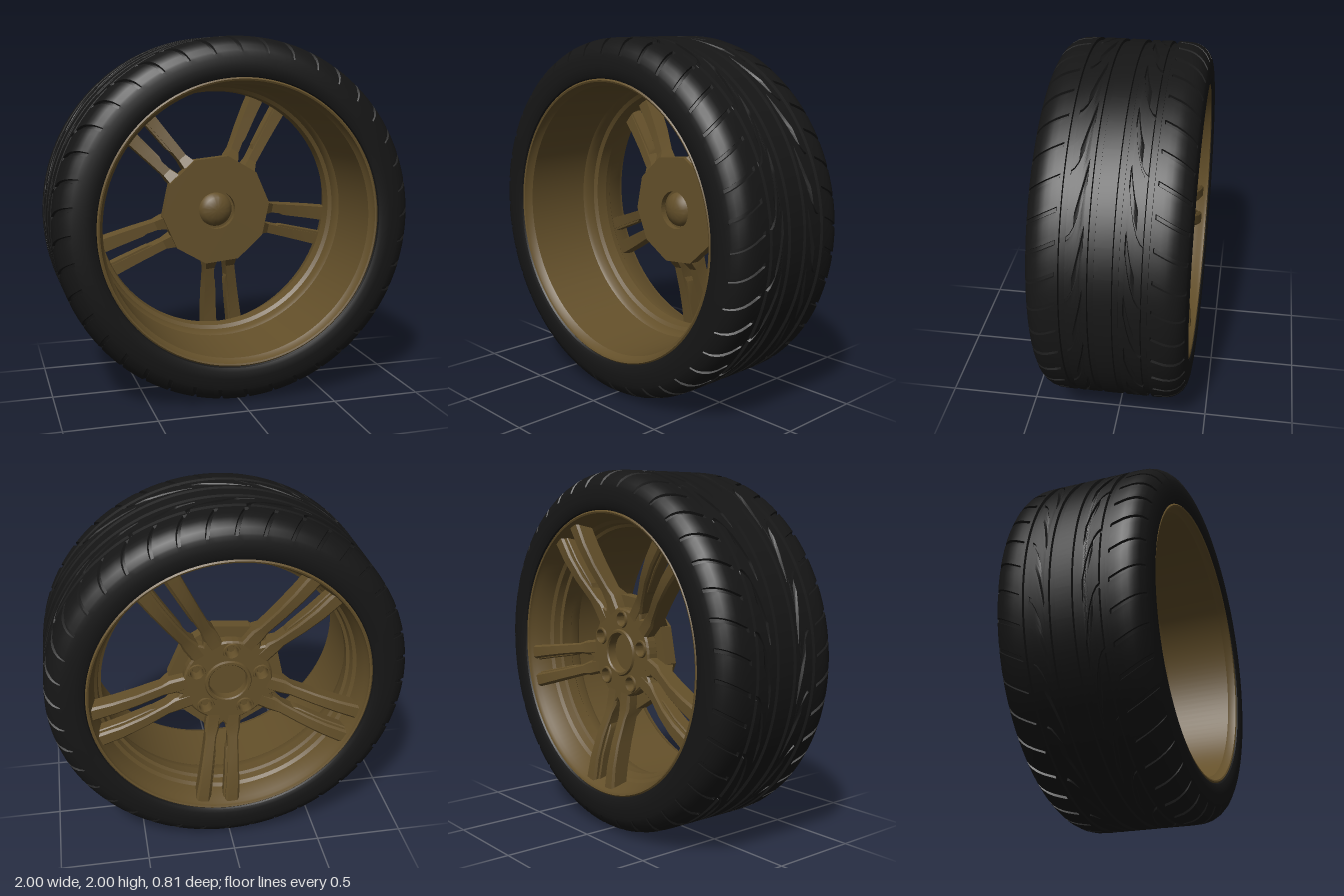
import * as THREE from 'three';
import { toCreasedNormals } from 'three/addons/utils/BufferGeometryUtils.js';

const rubber = new THREE.MeshStandardMaterial({ color: 0x161616 });
const bronze = new THREE.MeshStandardMaterial({ color: 0x64502a });
const TAU = Math.PI * 2;
const PAIR = THREE.MathUtils.degToRad(-84.3); // direction of the first spoke pair
const STEP = TAU / 5;

function add(parent, name, geometry, material = bronze) {
  const mesh = new THREE.Mesh(geometry, material);
  mesh.name = name;
  parent.add(mesh);
  return mesh;
}

// Ring turned about z from [radius, z] points, listed counter-clockwise
function turned(points, segments = 96) {
  const g = new THREE.LatheGeometry(points.map(p => new THREE.Vector2(...p)), segments);
  return toCreasedNormals(g.rotateX(Math.PI / 2), 0.5);
}

// Tyre: a turned profile whose columns follow the slanted tread grooves
function tyreGeometry() {
  const half = [ // [radius, |z|]
    [1, 0.043], [0.985, 0.046], [0.985, 0.074], [1, 0.077],
    [1, 0.098], [1, 0.102], [1, 0.115], [1, 0.13], [1, 0.15], [1, 0.168], [1, 0.183],
    [0.985, 0.186], [0.985, 0.214], [1, 0.217],
    [1, 0.232], [1, 0.236], [0.999, 0.265], [0.997, 0.295], [0.989, 0.325], [0.974, 0.352],
    [0.953, 0.374], [0.925, 0.39], [0.915, 0.394], [0.89, 0.4], [0.85, 0.405],
    [0.81, 0.404], [0.79, 0.395], [0.78, 0.375], [0.765, 0.36],
  ];
  const profile = [
    ...[...half].reverse().map(([r, z]) => [r, -z]), ...half, [half.at(-1)[0], -half.at(-1)[1]],
  ];
  const columns = [0, 0.02, 0.14, 0.16, 0.37, 0.58, 0.79];
  const periods = 40, n = profile.length, m = columns.length;
  const g = new THREE.LatheGeometry(profile.map(p => new THREE.Vector2(...p)), periods * m);
  const pos = g.attributes.position;
  for (let k = 0; k < pos.count; k++) {
    const col = Math.floor(k / n), [r0, z] = profile[k % n];
    const c = col % m, period = Math.floor(col / m), a = Math.abs(z);
    // slant of the grooves, sweeping round into hooks near the centre rib
    let angle = (period + columns[c]) / periods * TAU;
    angle += 0.1 * Math.max(0, (0.4 - Math.max(a, 0.2)) / 0.2);
    angle += 0.28 * Math.pow(THREE.MathUtils.clamp((0.2 - a) / 0.1, 0, 1), 2.5);
    const shoulder = a > 0.234 && r0 > 0.92 && c >= 1 && c <= 2;
    const hook = a > 0.1 && a < 0.184 && period % 2 === 0 && c >= 1 && c <= (a > 0.14 ? 2 : 5);
    const r = r0 - (shoulder || hook ? 0.013 : 0);
    pos.setXYZ(k, r * Math.cos(angle), r * Math.sin(angle), z);
  }
  return toCreasedNormals(g, 0.5);
}

// Beam along x through sections [x, y, halfWidth, faceZ, innerZ], chamfered on its face
function beam(sections, side) {
  const pts = [], index = [], n = 6, last = (sections.length - 1) * n;
  for (const [x, y0, w, f, b] of sections) {
    const y = y0 * side, c = w * 0.3;
    pts.push(x, y - w, f + c, x, y - w + c, f, x, y + w - c, f);
    pts.push(x, y + w, f + c, x, y + w * 0.85, b, x, y - w * 0.85, b);
  }
  for (let i = 0; i < last; i += n) {
    for (let j = 0; j < n; j++) {
      const a = i + j, d = i + (j + 1) % n;
      index.push(a, d, d + n, a, d + n, a + n);
    }
  }
  for (let j = 1; j < n - 1; j++) index.push(0, j + 1, j, last, last + j, last + j + 1);
  const g = new THREE.BufferGeometry();
  g.setAttribute('position', new THREE.Float32BufferAttribute(pts, 3));
  g.setIndex(index);
  return toCreasedNormals(g, 0.35);
}

const polar = (r, a) => new THREE.Vector2(r * Math.cos(a), r * Math.sin(a));

function circleHole(r, centre = new THREE.Vector2()) {
  return new THREE.Path().absarc(centre.x, centre.y, r, 0, TAU, true);
}

function plate(points, holes, z, depth, bevel) {
  const shape = new THREE.Shape(points);
  shape.holes.push(...holes);
  const g = new THREE.ExtrudeGeometry(shape, {
    depth: depth - 2 * bevel, bevelEnabled: bevel > 0, bevelSize: bevel, bevelThickness: bevel,
    bevelOffset: -bevel, bevelSegments: 1, curveSegments: 24,
  });
  return g.translate(0, 0, z + bevel);
}

export function createModel() {
  const model = new THREE.Group();
  model.name = 'wheel';
  const wheel = new THREE.Group();
  wheel.name = 'wheelAssembly';
  wheel.position.y = 1;
  model.add(wheel);

  add(wheel, 'tyre', tyreGeometry(), rubber);

  // Rim: lips at both ends, deep barrel and a stepped well behind the spokes
  add(wheel, 'rim', turned([
    [0.785, -0.385], [0.785, -0.355], [0.775, -0.34], [0.775, 0.34], [0.785, 0.355],
    [0.785, 0.385], [0.777, 0.392], [0.768, 0.388], [0.762, 0.365], [0.748, 0.345],
    [0.735, -0.04], [0.722, -0.06], [0.718, -0.11], [0.698, -0.125], [0.692, -0.19],
    [0.708, -0.2], [0.715, -0.24], [0.732, -0.255], [0.752, -0.35], [0.765, -0.37],
    [0.768, -0.388], [0.777, -0.392], [0.785, -0.385],
  ], 128));

  // Hub: ten-sided mounting plate behind a scalloped face with bolt holes
  const decagon = [], face = [], bolts = [];
  for (let i = 0; i < 10; i++) decagon.push(polar(0.325, PAIR + STEP / 4 + i * STEP / 2));
  for (let i = 0; i < 5; i++) {
    const a = PAIR + i * STEP;
    face.push(polar(0.27, a), polar(0.31, a + 0.1), polar(0.305, a + 0.28));
    for (const t of [-0.27, -0.14, 0, 0.14, 0.27]) face.push(polar(0.25, a + STEP / 2 + t));
    face.push(polar(0.305, a + STEP - 0.28), polar(0.31, a + STEP - 0.1));
    bolts.push(polar(0.19, a + STEP / 2));
  }
  add(wheel, 'mountingPlate', plate(decagon, [circleHole(0.112)], -0.2, 0.07, 0));
  add(wheel, 'hubFace', plate(face,
    [circleHole(0.112), ...bolts.map(p => circleHole(0.036, p))], -0.262, 0.07, 0.01));

  // Raised rim round the bore, and the domed centre cap inside it
  add(wheel, 'boreRing', turned([
    [0.135, -0.255], [0.112, -0.2], [0.106, -0.2], [0.106, -0.265], [0.112, -0.274],
    [0.125, -0.274], [0.135, -0.255],
  ], 48));
  add(wheel, 'centreCap', turned([
    [0, -0.215], [0.113, -0.215], [0.113, -0.165], [0.1, -0.165], [0.093, -0.148],
    [0.075, -0.132], [0.05, -0.12], [0.025, -0.114], [0, -0.112],
  ], 48));

  // Bolt seats and bolts
  for (const p of bolts) {
    add(wheel, 'boltSeat', turned([
      [0.052, -0.25], [0.036, -0.2], [0.034, -0.255], [0.038, -0.272], [0.046, -0.272], [0.052, -0.25],
    ], 24)).position.set(p.x, p.y, 0);
    const bolt = add(wheel, 'bolt', new THREE.CylinderGeometry(0.02, 0.02, 0.05, 6).rotateX(Math.PI / 2));
    bolt.position.set(p.x, p.y, -0.21);
  }

  // Five pairs of spokes, each with a lower ledge along its inner edge
  const spoke = [
    [0.22, 0.055, 0.042, -0.262, -0.16], [0.31, 0.06, 0.042, -0.268, -0.15],
    [0.36, 0.063, 0.031, -0.28, -0.19], [0.5, 0.073, 0.033, -0.325, -0.225],
    [0.63, 0.081, 0.037, -0.352, -0.25], [0.757, 0.087, 0.042, -0.362, -0.265],
  ];
  const ledge = [
    [0.42, 0.05, 0.012, -0.275, -0.215], [0.45, 0.046, 0.018, -0.285, -0.225],
    [0.6, 0.052, 0.019, -0.32, -0.25], [0.75, 0.056, 0.02, -0.335, -0.27],
  ];
  for (let i = 0; i < 5; i++) {
    const pair = new THREE.Group();
    pair.name = 'spokePair';
    pair.rotation.z = PAIR + i * STEP;
    wheel.add(pair);
    for (const side of [-1, 1]) {
      add(pair, 'spoke', beam(spoke, side));
      add(pair, 'spokeLedge', beam(ledge, side));
    }
  }
  return model;
}
